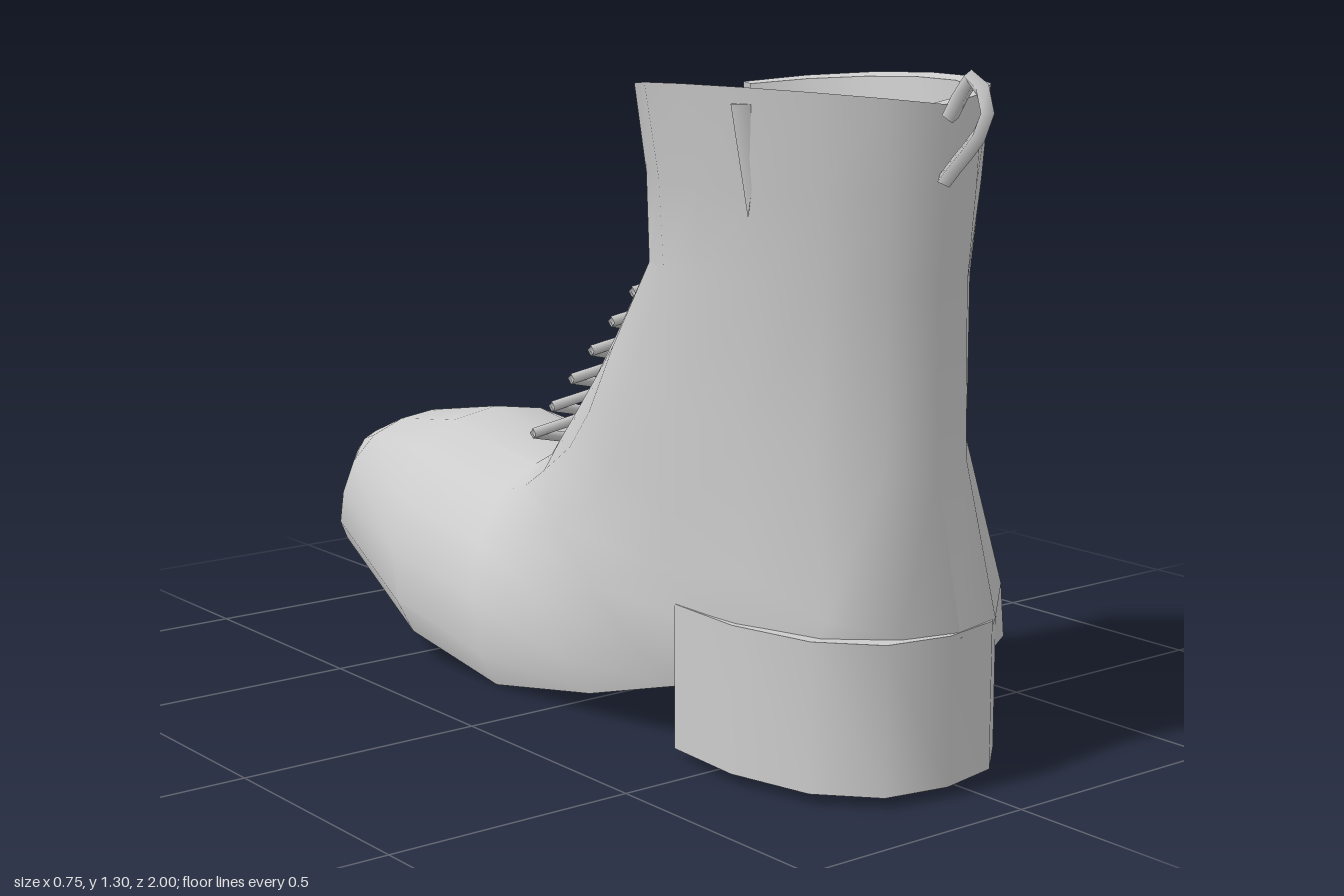
import * as THREE from 'three';
import { toCreasedNormals } from 'three/addons/utils/BufferGeometryUtils.js';

const N = 16;
// half outline of the foot section: flat sole, upright side, domed top [across, up]
const FOOT = [[0, 0], [0.5, 0], [0.93, 0], [1, 0.15], [0.97, 0.4], [0.86, 0.65], [0.64, 0.85], [0.34, 0.96], [0, 1]];

// Sections fan from the horizontal shaft rim round to the upright toe:
// [rear/bottom z, y, front/top z, y, min x, max x, foot-ness]
const SECTIONS = [
  [0.85, 1.25, 0.14, 1.24, -0.37, 0.23, 0],
  [0.85, 1.1, 0.15, 1.1, -0.34, 0.2, 0],
  [0.84, 0.93, 0.14, 0.93, -0.32, 0.18, 0],
  [0.83, 0.6, 0.0, 0.78, -0.32, 0.21, 0],
  [0.87, 0.3, -0.12, 0.66, -0.32, 0.26, 0.2],
  [0.8, 0.2, -0.2, 0.58, -0.32, 0.28, 0.5],
  [0.4, 0.13, -0.27, 0.51, -0.31, 0.31, 0.8],
  [0.1, 0.06, -0.31, 0.47, -0.31, 0.34, 1],
  [-0.2, 0.01, -0.36, 0.44, -0.33, 0.38, 1],
  [-0.47, 0.07, -0.62, 0.5, -0.36, 0.33, 1],
  [-0.86, 0.19, -0.85, 0.46, -0.28, 0.21, 1],
  [-0.97, 0.27, -1.0, 0.4, -0.17, 0.05, 1],
];

function ring([az, ay, bz, by, x0, x1, k], inset = 0, lift = 0) {
  const pts = [];
  for (let j = 0; j < N; j++) {
    const a = (j / N) * Math.PI * 2;
    const f = FOOT[j <= N / 2 ? j : N - j];
    const side = j <= N / 2 ? 1 : -1;
    const u = THREE.MathUtils.lerp(Math.sin(a), f[0] * side, k) * (1 - inset);
    const t0 = THREE.MathUtils.lerp(0.5 - 0.5 * Math.cos(a), f[1], k);
    const t = 0.5 + (t0 - 0.5) * (1 - inset);
    pts.push([
      (x0 + x1) / 2 + (u * (x1 - x0)) / 2,
      ay + (by - ay) * t + lift * Math.abs(u),
      az + (bz - az) * t,
    ]);
  }
  return pts;
}

// Skin between rings; skip(i, j) leaves a gap, cap closes the last ring
function loft(rings, { skip = () => false, cap = false, flip = false } = {}) {
  const pos = rings.flat(2);
  const idx = [];
  const tri = (a, b, c) => (flip ? idx.push(a, c, b) : idx.push(a, b, c));
  for (let i = 0; i < rings.length - 1; i++) {
    for (let j = 0; j < N; j++) {
      if (skip(i, j)) continue;
      const a = i * N + j, b = i * N + ((j + 1) % N);
      tri(a, a + N, b);
      tri(b, a + N, b + N);
    }
  }
  if (cap) {
    const s = (rings.length - 1) * N;
    for (let j = 1; j < N - 1; j++) tri(s, s + j + 1, s + j);
  }
  const g = new THREE.BufferGeometry();
  g.setAttribute('position', new THREE.Float32BufferAttribute(pos, 3));
  g.setIndex(idx);
  return toCreasedNormals(g, 0.7);
}

export function createModel() {
  const group = new THREE.Group();
  const mat = new THREE.MeshStandardMaterial({ color: 0xcccccc, side: THREE.DoubleSide });
  const add = (name, geo) => {
    const m = new THREE.Mesh(geo, mat);
    m.name = name;
    group.add(m);
    return m;
  };
  const frontSlit = (i, j) => i < 2 && (j === N / 2 - 1 || j === N / 2);

  // Leather upper, sole and toe in one skin
  const outer = SECTIONS.map((s, i) => ring(s, 0, i === 0 ? 0.035 : 0));
  add('upper', loft(outer, { skip: frontSlit, cap: true }));

  // Lining down to the insole, and the rolled rim joining it to the upper
  const inner = SECTIONS.slice(0, 3).map((s, i) => ring(s, i === 0 ? 0.1 : 0.07, i === 0 ? 0.03 : 0));
  inner.push(ring([0.8, 0.33, 0.34, 0.36, -0.26, 0.17, 0]));
  add('lining', loft(inner, { skip: frontSlit, cap: true, flip: true }));
  add('rim', loft([inner[0], outer[0]], { skip: frontSlit }));

  // Heel block
  const heel = new THREE.Shape([
    [-0.31, 0.4], [0.23, 0.4], [0.225, 0.6], [0.17, 0.76], [0.07, 0.85],
    [-0.06, 0.875], [-0.19, 0.85], [-0.28, 0.75], [-0.32, 0.58],
  ].map(([x, z]) => new THREE.Vector2(x, z)));
  const heelGeo = new THREE.ExtrudeGeometry(heel, { depth: 0.28, bevelEnabled: false });
  heelGeo.rotateX(Math.PI / 2).translate(0, 0.31, 0);
  add('heel', toCreasedNormals(heelGeo, 0.7));

  // Tongue behind the front slit
  const tongue = new THREE.PlaneGeometry(0.26, 0.26, 6, 2);
  const p = tongue.attributes.position;
  for (let i = 0; i < p.count; i++) p.setZ(i, 1.2 * p.getX(i) ** 2 + 0.15 * p.getY(i));
  tongue.computeVertexNormals();
  add('tongue', tongue).position.set(-0.06, 1.0, 0.18);

  // Zigzag laces down the instep
  const lace = [];
  for (let i = 0; i <= 13; i++) {
    const t = i / 13;
    lace.push(new THREE.Vector3(i % 2 ? 0.0 : -0.14, 0.91 - 0.44 * t, 0.12 - 0.45 * t));
  }
  for (let i = 0; i < lace.length - 1; i++) {
    add('lace', new THREE.TubeGeometry(new THREE.LineCurve3(lace[i], lace[i + 1]), 1, 0.011, 4));
  }

  // Pull loop at the back of the rim
  const loop = new THREE.CatmullRomCurve3([
    [-0.08, 1.12, 0.86], [-0.1, 1.24, 0.98], [-0.085, 1.3, 0.93], [-0.08, 1.23, 0.87],
  ].map((v) => new THREE.Vector3(...v)));
  add('pullLoop', new THREE.TubeGeometry(loop, 8, 0.016, 4));

  // Folded tab on the side of the rim
  const fold = new THREE.ConeGeometry(0.04, 0.2, 4);
  fold.rotateX(Math.PI);
  add('rimFold', fold).position.set(-0.32, 1.15, 0.62);
  return group;
}
